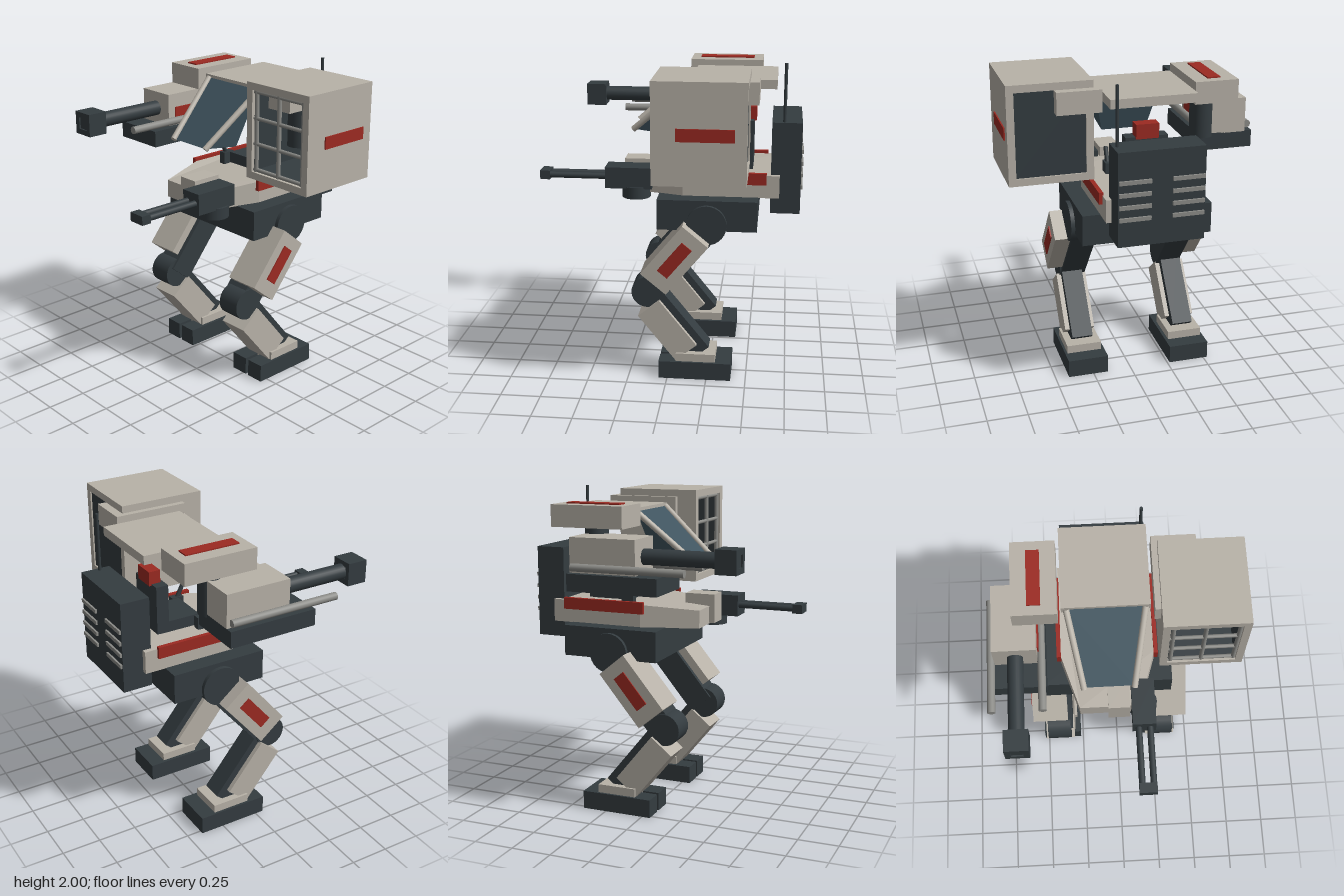
import * as THREE from 'three';

const mat = (color) => new THREE.MeshStandardMaterial({ color, flatShading: true });
const ARMOR = mat(0xb8b2a8), DARK = mat(0x343c40), RED = mat(0x9c2a22);
const GLASS = mat(0x40545f), STEEL = mat(0x8c8c88);
GLASS.side = THREE.DoubleSide;
const smooth = (m) => { const c = m.clone(); c.flatShading = false; return c; };
const DARK_ROUND = smooth(DARK), STEEL_ROUND = smooth(STEEL), ARMOR_ROUND = smooth(ARMOR);

function add(parent, name, geometry, material) {
  const mesh = new THREE.Mesh(geometry, material);
  mesh.name = name;
  parent.add(mesh);
  return mesh;
}

// Box given by its limits along each axis
function box(parent, name, material, [x0, x1], [y0, y1], [z0, z1]) {
  const m = add(parent, name, new THREE.BoxGeometry(x1 - x0, y1 - y0, z1 - z0), material);
  m.position.set((x0 + x1) / 2, (y0 + y1) / 2, (z0 + z1) / 2);
  return m;
}

// Cylinder between two points
function rod(parent, name, material, a, b, r, sides = 20) {
  const p = new THREE.Vector3(...a), q = new THREE.Vector3(...b);
  const m = add(parent, name, new THREE.CylinderGeometry(r, r, p.distanceTo(q), sides), material);
  m.position.copy(p).add(q).multiplyScalar(0.5);
  m.quaternion.setFromUnitVectors(new THREE.Vector3(0, 1, 0), q.sub(p).normalize());
  return m;
}

function group(parent, name, x = 0, y = 0, z = 0) {
  const g = new THREE.Group();
  g.name = name;
  g.position.set(x, y, z);
  parent.add(g);
  return g;
}

// Rectangular tube running along z
function frame(parent, name, material, [x0, x1], [y0, y1], [z0, z1], wall) {
  const rect = (C, d) => new C([[x0 + d, y0 + d], [x1 - d, y0 + d], [x1 - d, y1 - d], [x0 + d, y1 - d]]
    .map(([x, y]) => new THREE.Vector2(x, y)));
  const shape = rect(THREE.Shape, 0);
  shape.holes.push(rect(THREE.Path, wall));
  const geo = new THREE.ExtrudeGeometry(shape, { depth: z1 - z0, bevelEnabled: false });
  add(parent, name, geo, material).position.z = z0;
}

// One leg; s is the side sign, so that outer parts sit outward
function buildLeg(parent, s) {
  const leg = group(parent, s > 0 ? 'leftLeg' : 'rightLeg');
  const X = (a, b) => (s > 0 ? [a, b] : [-b, -a]);
  rod(leg, 'hipJoint', DARK_ROUND, [s * 0.25, 1.02, -0.24], [s * 0.43, 1.02, -0.24], 0.125, 28);

  // Thigh, local y runs from knee to hip
  const thigh = group(leg, 'thigh', 0, 0.565, 0.13);
  thigh.rotation.x = -0.69;
  box(thigh, 'thighBeam', DARK, X(0.25, 0.41), [0, 0.64], [-0.1, 0.07]);
  box(thigh, 'thighArmor', ARMOR, X(0.28, 0.51), [0.1, 0.51], [-0.083, 0.124]);
  box(thigh, 'thighStripe', RED, X(0.505, 0.518), [0.19, 0.43], [-0.02, 0.06]);

  rod(leg, 'kneeJoint', DARK_ROUND, [s * 0.265, 0.565, 0.13], [s * 0.42, 0.565, 0.13], 0.1, 28);

  // Shin, local y runs from ankle up to knee
  const shin = group(leg, 'shin', 0, 0.565, 0.13);
  shin.rotation.x = 0.68;
  box(shin, 'shinBeam', DARK, X(0.275, 0.41), [-0.53, 0], [-0.076, 0.06]);
  box(shin, 'shinArmor', ARMOR, X(0.245, 0.44), [-0.465, -0.085], [-0.03, 0.142]);

  // Foot with two toes
  box(leg, 'ankle', ARMOR, X(0.23, 0.455), [0.1, 0.168], [-0.305, -0.055]);
  box(leg, 'heel', DARK, X(0.21, 0.47), [0, 0.115], [-0.405, -0.155]);
  box(leg, 'innerToe', DARK, X(0.21, 0.328), [0, 0.115], [-0.155, 0.055]);
  box(leg, 'outerToe', DARK, X(0.352, 0.47), [0, 0.115], [-0.155, 0.055]);
}

function buildHull(parent) {
  box(parent, 'pelvis', DARK, [-0.405, 0.405], [0.98, 1.172], [-0.55, 0.07]);
  // Hull plan is drawn with y = -z, then raised; its nose top is lowered
  const plan = [[-0.295, 0.68], [-0.295, 0.08], [-0.185, -0.27], [0.185, -0.27], [0.295, 0.08], [0.295, 0.68]];
  const geo = new THREE.ExtrudeGeometry(new THREE.Shape(plan.map(([x, y]) => new THREE.Vector2(x, y))),
    { depth: 0.142, bevelEnabled: false });
  geo.rotateX(-Math.PI / 2).translate(0, 1.17, 0);
  const p = geo.attributes.position;
  for (let i = 0; i < p.count; i++) if (p.getZ(i) > 0.2 && p.getY(i) > 1.2) p.setY(i, 1.282);
  geo.computeVertexNormals();
  add(parent, 'hull', geo, ARMOR);
  box(parent, 'noseBlock', ARMOR, [-0.01, 0.122], [1.175, 1.357], [0.11, 0.305]);
  for (const s of [-1, 1]) {
    const x = [0.29 * s, 0.316 * s].sort((a, b) => a - b);
    box(parent, 'hullStripe', RED, x, [1.257, 1.33], [-0.6, -0.055]);
  }
}

function buildCockpit(parent) {
  // Seat and control sticks
  box(parent, 'seatBase', DARK, [-0.13, 0.13], [1.31, 1.38], [-0.51, -0.22]);
  box(parent, 'seatBack', DARK, [-0.13, 0.13], [1.31, 1.62], [-0.51, -0.43]);
  box(parent, 'headrest', RED, [-0.07, 0.07], [1.61, 1.7], [-0.525, -0.45]);
  for (const s of [-1, 1]) {
    box(parent, 'stickBase', DARK, [s * 0.16 - 0.023, s * 0.16 + 0.023], [1.3, 1.38], [-0.26, -0.18]);
    rod(parent, 'controlStick', DARK_ROUND, [s * 0.16, 1.36, -0.22], [s * 0.16, 1.46, -0.17], 0.014, 12);
  }
  box(parent, 'roof', ARMOR, [-0.26, 0.26], [1.845, 1.9], [-0.65, -0.13]);

  // Windshield wedge: top edge, front lower edge, rear lower edge
  const section = [[0.225, 1.88, -0.13], [0.145, 1.555, 0.235], [0.145, 1.52, -0.02]];
  const pts = section.flatMap(([x, y, z]) => [-x, y, z, x, y, z]);
  const geo = new THREE.BufferGeometry();
  geo.setAttribute('position', new THREE.Float32BufferAttribute(pts, 3));
  geo.setIndex([0, 2, 3, 0, 3, 1, 2, 4, 5, 2, 5, 3, 4, 0, 1, 4, 1, 5, 0, 4, 2, 1, 3, 5]);
  const flat = geo.toNonIndexed();
  flat.computeVertexNormals();
  add(parent, 'windshield', flat, GLASS);
  for (const s of [-1, 1])
    rod(parent, 'windshieldPost', ARMOR_ROUND, [s * 0.23, 1.88, -0.13], [s * 0.15, 1.555, 0.245], 0.019);
}

function buildBackpack(parent) {
  box(parent, 'backpack', DARK, [-0.262, 0.262], [1.065, 1.64], [-0.81, -0.625]);
  for (const x of [-0.16, 0.16])
    for (let i = 0; i < 4; i++) {
      const y = 1.235 + i * 0.075;
      box(parent, 'vent', STEEL, [x - 0.096, x + 0.096], [y - 0.012, y + 0.012], [-0.822, -0.8]);
    }
  rod(parent, 'antenna', DARK_ROUND, [0.235, 1.63, -0.7], [0.235, 2, -0.7], 0.01, 10);
}

function buildShoulders(parent) {
  for (const s of [-1, 1]) {
    const x = s * 0.413;
    box(parent, 'shoulder', ARMOR, [x - 0.133, x + 0.133], [1.8, 1.935], [-0.55, -0.08]);
    box(parent, 'shoulderStripe', RED, [x - 0.04, x + 0.04], [1.93, 1.943], [-0.49, -0.14]);
    rod(parent, 'shoulderArm', DARK_ROUND, [s * 0.408, 1.53, -0.31], [s * 0.408, 1.81, -0.31], 0.073, 24);
  }
}

function buildCannon(parent) {
  const gun = group(parent, 'cannon', -0.603, 0, 0);
  box(gun, 'cannonPlate', DARK, [-0.175, 0.175], [1.445, 1.55], [-0.36, 0.215]);
  box(gun, 'cannonUnderside', DARK, [-0.072, 0.072], [1.43, 1.45], [-0.2, 0.05]);
  box(gun, 'cannonHousing', ARMOR, [-0.13, 0.13], [1.545, 1.76], [-0.36, 0.062]);
  box(gun, 'cannonStripe', RED, [0.125, 0.138], [1.6, 1.67], [-0.17, 0.01]);
  rod(gun, 'cannonBarrel', DARK_ROUND, [0, 1.65, 0.04], [0, 1.65, 0.55], 0.048, 24);
  frame(gun, 'cannonMuzzle', DARK, [-0.072, 0.072], [1.578, 1.722], [0.525, 0.655], 0.035);
  box(gun, 'muzzleCore', DARK, [-0.04, 0.04], [1.61, 1.69], [0.53, 0.645]);
  for (const s of [-1, 1])
    rod(gun, 'sideTube', STEEL_ROUND, [s * 0.15, 1.585, -0.34], [s * 0.15, 1.585, 0.375], 0.024);
}

function buildPod(parent) {
  // Hollow launcher with a dark lining, a closed back and a front grille
  const pod = group(parent, 'launcherPod');
  frame(pod, 'podShell', ARMOR, [0.26, 0.767], [1.378, 1.98], [-0.495, 0.052], 0.045);
  frame(pod, 'podLining', DARK, [0.304, 0.723], [1.422, 1.936], [-0.48, 0.03], 0.008);
  box(pod, 'podBack', DARK, [0.304, 0.723], [1.422, 1.936], [-0.485, -0.46]);
  box(pod, 'podStripe', RED, [0.76, 0.775], [1.64, 1.715], [-0.425, -0.09]);
  for (const x of [0.325, 0.513, 0.71])
    rod(pod, 'grilleUpright', STEEL_ROUND, [x, 1.425, 0.03], [x, 1.935, 0.03], 0.014, 12);
  for (const y of [1.437, 1.6, 1.76, 1.923])
    rod(pod, 'grilleBar', STEEL_ROUND, [0.307, y, 0.03], [0.72, y, 0.03], 0.012, 12);
}

function buildNoseGun(parent) {
  const gun = group(parent, 'noseGun', 0.15, 1.27, 0);
  rod(gun, 'turretRing', DARK_ROUND, [0, -0.135, 0.22], [0, -0.06, 0.22], 0.09, 24);
  box(gun, 'gunBody', DARK, [-0.072, 0.072], [-0.07, 0.065], [0.115, 0.41]);
  for (const x of [-0.035, 0.035])
    rod(gun, 'gunBarrel', DARK_ROUND, [x, 0, 0.4], [x, 0, 0.78], 0.02, 16);
  box(gun, 'gunMuzzle', DARK, [-0.055, 0.055], [-0.028, 0.028], [0.765, 0.828]);
}

export function createModel() {
  const model = new THREE.Group();
  model.name = 'walkerMech';
  // The symmetric body sits a little to the right of the weapons' overall centre
  const body = group(model, 'body', -0.056);
  buildHull(body);
  buildCockpit(body);
  buildBackpack(body);
  buildShoulders(body);
  for (const s of [-1, 1]) buildLeg(body, s);
  buildCannon(model);
  buildPod(model);
  buildNoseGun(model);
  return model;
}
